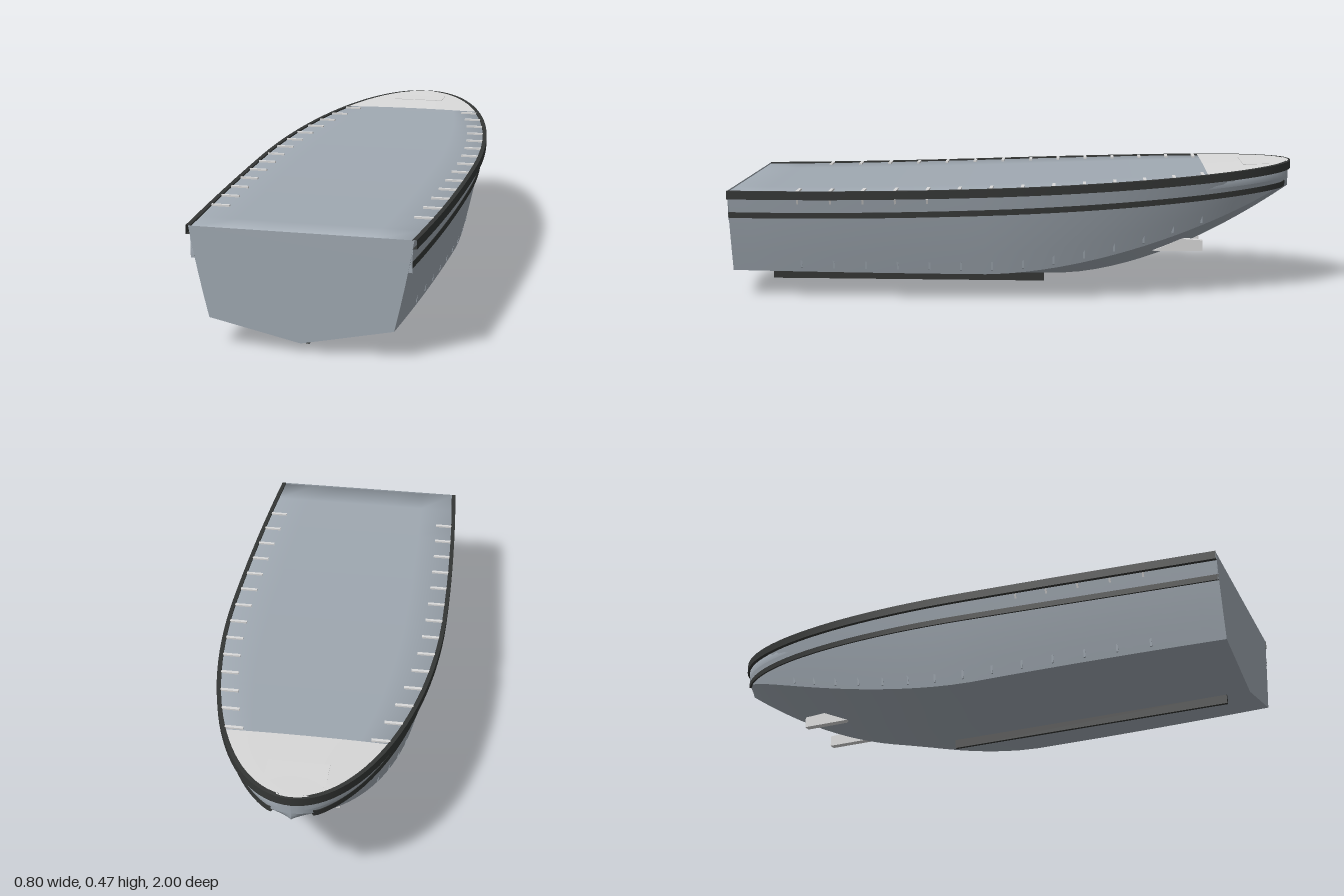
import * as THREE from 'three';
import { toCreasedNormals } from 'three/addons/utils/BufferGeometryUtils.js';

const mat = (name, color) => new THREE.MeshStandardMaterial({ name, color, side: THREE.DoubleSide });
const TIP = -0.992;

// Hull lines along z (stern +1, bow TIP)
const rise = (z, start, p) => Math.pow(Math.max(0, (start - z) / (start + 1)), p);
const aft = z => Math.pow((1 - z) / 2, 1.8);
const sheerY = z => 0.388 + 0.077 * aft(z);
const halfWidth = z => z > 0.1
  ? 0.392 - 0.034 * ((z - 0.1) / 0.9) ** 2
  : 0.392 * Math.sqrt(Math.max(0, 1 - ((0.1 - z) / 1.092) ** 2));
const keelY = z => 0.03 + 0.345 * rise(z, -0.15, 1.75);
const chineY = z => 0.093 + 0.307 * rise(z, 0.1, 1.7);

// Point on the topside: f = 0 at the chine, 1 at the sheer
function topside(z, f, sign = 1) {
  const w = halfWidth(z), bulge = 0.03 * f * (1 - f);
  return [sign * w * (0.83 + 0.17 * f + bulge), THREE.MathUtils.lerp(chineY(z), sheerY(z), f), z];
}
const fractionAt = (z, y) =>
  THREE.MathUtils.clamp((y - chineY(z)) / (sheerY(z) - chineY(z)), 0.03, 1);

// Skin over equal-length rows of points
function skin(rows, closed = false) {
  const n = rows[0].length, index = [];
  for (let i = 0; i < rows.length - 1; i++) {
    for (let j = 0; j < (closed ? n : n - 1); j++) {
      const a = i * n + j, b = i * n + (j + 1) % n;
      index.push(a, a + n, b, b, a + n, b + n);
    }
  }
  const g = new THREE.BufferGeometry();
  g.setAttribute('position', new THREE.Float32BufferAttribute(rows.flat(2), 3));
  g.setIndex(index);
  g.computeVertexNormals();
  return g;
}

// Stations crowd together toward the rounded bow
const stations = (from = 1, to = TIP, n = 40) =>
  Array.from({ length: n + 1 }, (_, i) => from + (to - from) * Math.sin(i / n * Math.PI / 2));

// Rectangular strip swept along a path in plan
function band(path, inner, outer, low, high) {
  const rows = path.map((p, i) => {
    const a = path[Math.max(0, i - 1)], b = path[Math.min(path.length - 1, i + 1)];
    const t = new THREE.Vector2(b[0] - a[0], b[2] - a[2]).normalize();
    const at = (d, y) => [p[0] + t.y * d, p[1] + y, p[2] - t.x * d];
    return [at(inner, low), at(outer, low), at(outer, high), at(inner, high)];
  });
  return toCreasedNormals(skin(rows, true), 0.7);
}

export function createModel() {
  const group = new THREE.Group();
  const hullGrey = mat('hull grey', 0x9fa8b1);
  const deckGrey = mat('pale deck grey', 0xd9d9d9);
  const dark = mat('dark trim', 0x343635);
  const add = (name, geometry, material, x = 0, y = 0, z = 0) => {
    const m = new THREE.Mesh(geometry, material);
    m.name = name;
    m.position.set(x, y, z);
    group.add(m);
    return m;
  };
  const box = (w, h, d) => new THREE.BoxGeometry(w, h, d);
  const plate = (points, depth) => new THREE.ExtrudeGeometry(
    new THREE.Shape(points.map(p => new THREE.Vector2(...p))), { depth, bevelEnabled: false });
  const zs = stations();

  // Hull: two topsides, two bottom panels
  for (const s of [1, -1]) {
    const order = row => s > 0 ? row : row.reverse();
    add('topside', skin(zs.map(z =>
      order([0, 0.25, 0.5, 0.75, 1].map(f => topside(z, f, s))))), hullGrey);
    add('bottomPanel', skin(zs.map(z => {
      const c = topside(z, 0, s);
      return order([0, 0.33, 0.67, 1].map(f =>
        [c[0] * f, THREE.MathUtils.lerp(keelY(z), c[1], f), z]));
    })), hullGrey);
  }

  // Flat transom
  const outline = [[0, keelY(1)]];
  const fs = [0, 0.25, 0.5, 0.75, 1];
  fs.forEach(f => outline.push(topside(1, f).slice(0, 2)));
  [...fs].reverse().forEach(f => outline.push(topside(1, f, -1).slice(0, 2)));
  const transom = new THREE.Shape(outline.map(p => new THREE.Vector2(...p)));
  add('transom', new THREE.ShapeGeometry(transom), hullGrey, 0, 0, 1);

  // Inner deck just under the sheer, softly rounded into short skirts at its edges
  const capRows = [0.998, 0.998, 0.88, ...stations(0.75, -0.985, 30)].map((z, i) => {
    const w = halfWidth(z) * 0.985, y = sheerY(z) - 0.004;
    const row = [1, 0.65, 0.35, 0, -0.35, -0.65, -1].map(u => [u * w, i ? y : y - 0.1, z]);
    return [[w * 0.97, y - 0.05, z], ...row, [-w * 0.97, y - 0.05, z]];
  });
  add('innerDeck', skin(capRows), hullGrey);

  // Gunwale rail round the whole sheer
  const sheer = [
    ...zs.map(z => topside(z, 1, -1)),
    ...zs.slice(0, -1).reverse().map(z => topside(z, 1)),
  ];
  add('gunwaleRail', band(sheer, -0.007, 0.008, -0.028, 0.001), dark);

  // Rubbing strakes
  for (const s of [1, -1]) {
    const path = stations(1, -0.97, 30).map(z =>
      topside(z, fractionAt(z, 0.301 + 0.085 * aft(z)), s));
    if (s > 0) path.reverse();
    add('rubbingStrake', band(path, -0.004, 0.004, -0.01, 0.01), dark);
  }

  // Foredeck with a nearly flush hatch
  add('foredeck', skin(stations(-0.68, TIP, 20).map(z =>
    Array.from({ length: 9 }, (_, i) => {
      const u = 1 - i / 4;
      return [u * halfWidth(z) * 0.985, sheerY(z) + 0.001 + 0.004 * (1 - u * u) * halfWidth(z) / 0.28, z];
    }))), deckGrey);
  add('foredeckHatch', box(0.2, 0.012, 0.11), deckGrey, 0, 0.4545, -0.875).rotation.x = 0.03;

  // Frames: heads lie on the inner deck, edges break the topside near chine and rail
  for (let i = 0; i < 14; i++) {
    const z = 0.75 - 0.1165 * i + 0.0006 * i * i;
    for (const s of [1, -1]) {
      add('frameHead', box(0.062, 0.01, 0.011), deckGrey, s * (halfWidth(z) - 0.037), sheerY(z) - 0.003, z);
      const edge = (f, out) => {
        const p = topside(z, f, s);
        return [p[0] + s * out, p[1]];
      };
      add('frameFoot', plate([edge(0.03, -0.01), edge(0.05, 0.0025), edge(0.28, -0.004)], 0.007),
        hullGrey, 0, 0, z - 0.0035);
      if (i < 5) {
        add('frameShoulder', plate([edge(0.77, -0.004), edge(0.9, 0.0025), edge(0.92, -0.01)], 0.007),
          deckGrey, 0, 0, z - 0.0035);
      }
    }
  }

  // Keel bar
  add('keelBar', box(0.011, 0.034, 1.02), dark, 0, 0.017, 0.41);

  // Small fins under the forefoot
  for (const x of [-0.1, 0.1]) {
    const fin = plate([[0.5, 0.14], [0.68, 0.14], [0.68, 0.18], [0.6, 0.185]], 0.025);
    add('forefootFin', fin, deckGrey, x - 0.0125).rotation.y = Math.PI / 2;
  }
  return group;
}
